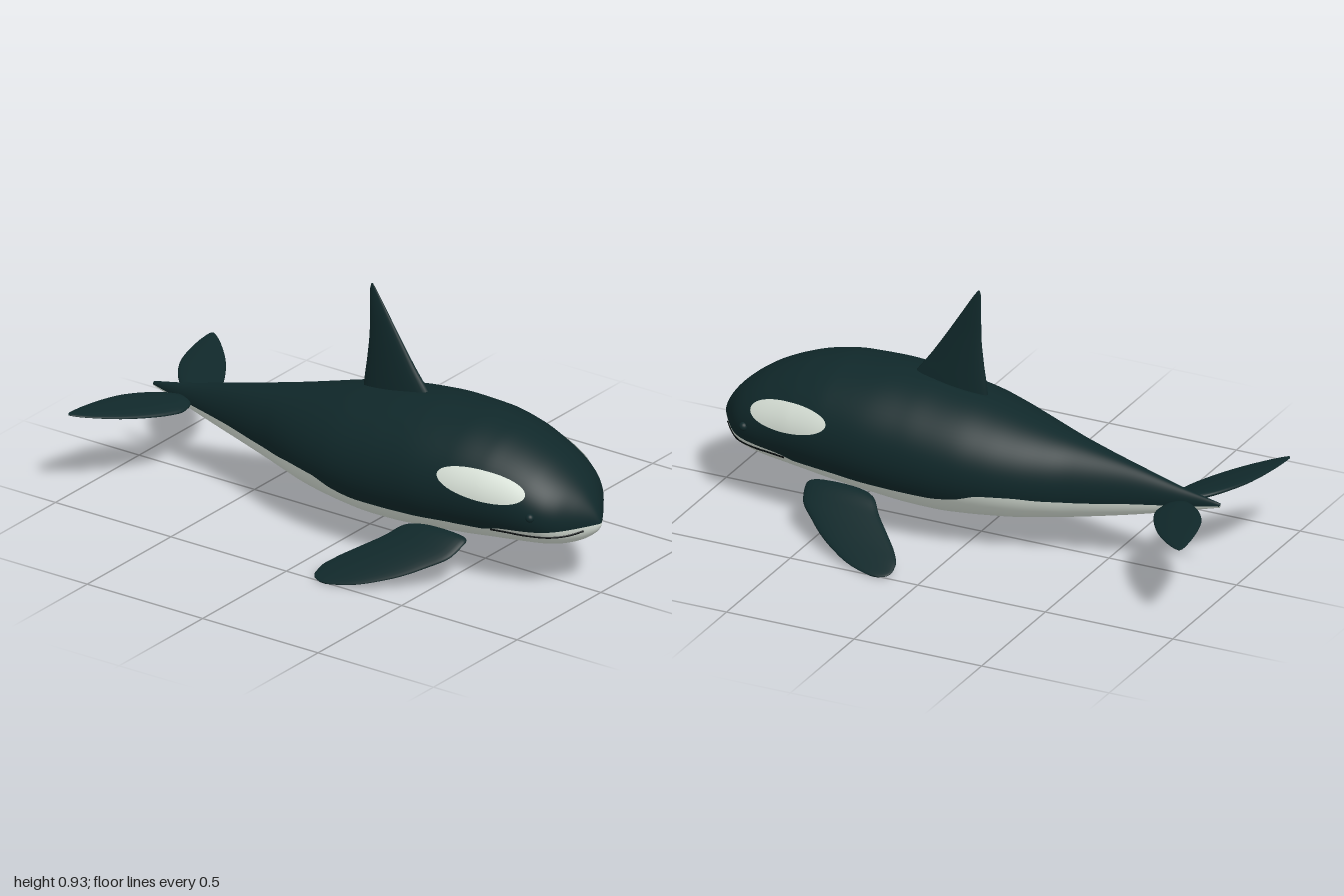
import * as THREE from 'three';

// Monotone cubic interpolation of table rows; column 0 is the ascending key
function sample(rows, x) {
  const n = rows.length;
  let i = 0;
  while (i < n - 2 && x > rows[i + 1][0]) i++;
  const h = rows[i + 1][0] - rows[i][0];
  const t = Math.min(1, Math.max(0, (x - rows[i][0]) / h));
  return rows[0].map((_, c) => {
    if (c === 0) return x;
    const d = k => (rows[k + 1][c] - rows[k][c]) / (rows[k + 1][0] - rows[k][0]);
    const m = k => {
      if (k === 0) return d(0);
      if (k === n - 1) return d(n - 2);
      const a = d(k - 1), b = d(k);
      return a * b > 0 ? 2 * a * b / (a + b) : 0;
    };
    const t2 = t * t, t3 = t2 * t;
    return rows[i][c] * (2 * t3 - 3 * t2 + 1) + rows[i + 1][c] * (3 * t2 - 2 * t3)
      + h * (m(i) * (t3 - 2 * t2 + t) + m(i + 1) * (t3 - t2));
  });
}

// Joins equal rings into a closed skin; isFirst(j) sends a strip to material 0
function skin(rings, isFirst = () => true) {
  const n = rings[0].length, pos = rings.flat(), first = [], second = [];
  for (let i = 0; i < rings.length - 1; i++) {
    for (let j = 0; j < n; j++) {
      const a = i * n + j, b = i * n + (j + 1) % n;
      (isFirst(j) ? first : second).push(a, b, a + n, b, b + n, a + n);
    }
  }
  // End caps
  for (const [k, flip] of [[0, true], [rings.length - 1, false]]) {
    const centre = new THREE.Vector3();
    rings[k].forEach(p => centre.addScaledVector(p, 1 / n));
    const c = pos.push(centre) - 1;
    for (let j = 0; j < n; j++) {
      const a = k * n + j, b = k * n + (j + 1) % n;
      (isFirst(j) ? first : second).push(...(flip ? [c, b, a] : [c, a, b]));
    }
  }
  const index = [...first, ...second];
  // Turn the faces outward if the enclosed volume comes out negative
  let volume = 0;
  const cross = new THREE.Vector3();
  for (let k = 0; k < index.length; k += 3) {
    volume += pos[index[k]].dot(cross.crossVectors(pos[index[k + 1]], pos[index[k + 2]]));
  }
  if (volume < 0) {
    for (let k = 0; k < index.length; k += 3) [index[k], index[k + 1]] = [index[k + 1], index[k]];
  }
  const geo = new THREE.BufferGeometry().setFromPoints(pos);
  geo.setIndex(index);
  geo.addGroup(0, first.length, 0);
  if (second.length) geo.addGroup(first.length, second.length, 1);
  geo.computeVertexNormals();
  return geo;
}

// Fin from rows of [span, leading edge, trailing edge, half thickness, ...]
function fin(rows, place) {
  const rings = [], s0 = rows[0][0], s1 = rows[rows.length - 1][0];
  for (let i = 0; i <= 36; i++) {
    const r = sample(rows, s0 + (s1 - s0) * (1 - Math.cos(Math.PI * i / 36)) / 2);
    const ring = [];
    for (let j = 0; j < 24; j++) {
      const a = j / 24 * Math.PI * 2;
      ring.push(place(r, (r[1] + r[2]) / 2 + (r[1] - r[2]) / 2 * Math.cos(a), r[3] * Math.sin(a)));
    }
    rings.push(ring);
  }
  return skin(rings);
}

// Body: z, top, bottom, half width, height of the belly colour line
const BODY = [
  [-0.935, 0.305, 0.288, 0.006, 0.294], [-0.8, 0.333, 0.25, 0.024, 0.275],
  [-0.6, 0.385, 0.195, 0.06, 0.255], [-0.4, 0.435, 0.15, 0.118, 0.24],
  [-0.3, 0.46, 0.132, 0.16, 0.242], [-0.2, 0.487, 0.116, 0.2, 0.25],
  [-0.1, 0.515, 0.105, 0.232, 0.248], [0, 0.54, 0.096, 0.255, 0.22],
  [0.1, 0.557, 0.09, 0.268, 0.208], [0.2, 0.572, 0.092, 0.275, 0.21],
  [0.35, 0.583, 0.106, 0.28, 0.214], [0.5, 0.58, 0.121, 0.27, 0.224],
  [0.63, 0.558, 0.137, 0.251, 0.226], [0.7, 0.535, 0.145, 0.236, 0.244],
  [0.8, 0.489, 0.157, 0.21, 0.252], [0.86, 0.45, 0.168, 0.184, 0.256],
  [0.9, 0.418, 0.18, 0.152, 0.259], [0.94, 0.378, 0.198, 0.1, 0.262],
  [0.97, 0.338, 0.22, 0.055, 0.265], [0.99, 0.302, 0.24, 0.022, 0.267],
  [1, 0.274, 0.258, 0.005, 0.268],
];

// Point on the left flank at a given height and z
function flank(y, z, lift = 0) {
  const [, top, bottom, w] = sample(BODY, z);
  const k = (y - (top + bottom) / 2) / ((top - bottom) / 2);
  return new THREE.Vector3(w * Math.sqrt(Math.max(0, 1 - k * k)) + lift, y, z);
}

function bodyGeometry() {
  const rings = [], LOW = 14, HIGH = 24, half = LOW + HIGH;
  for (let i = 0; i <= 110; i++) {
    const z = 1 - 1.935 * Math.pow(i / 110, 1.5);
    const [, top, bottom, w, line] = sample(BODY, z);
    const c = (top + bottom) / 2, h = (top - bottom) / 2;
    const seam = Math.asin(Math.min(0.95, Math.max(-0.95, (line - c) / h)));
    const ring = [];
    for (let j = 0; j < 2 * half; j++) {
      const k = j <= half ? j : 2 * half - j;
      const a = k <= LOW
        ? -Math.PI / 2 + (seam + Math.PI / 2) * k / LOW
        : seam + (Math.PI / 2 - seam) * (k - LOW) / HIGH;
      ring.push(new THREE.Vector3((j <= half ? 1 : -1) * w * Math.cos(a), c + h * Math.sin(a), z));
    }
    rings.push(ring);
  }
  return skin(rings, j => j < LOW || j >= 2 * half - LOW);
}

// Thin oval patch wrapped onto the flank
function patchGeometry(side) {
  const geo = new THREE.CircleGeometry(1, 48);
  const disc = new THREE.RingGeometry(0.001, 1, 48, 8);
  geo.dispose();
  const p = disc.attributes.position;
  for (let i = 0; i < p.count; i++) {
    const dz = 0.165 * p.getX(i);
    const v = flank(0.405 + 0.052 * p.getY(i) - 0.09 * dz, 0.645 + dz, 0.005);
    p.setXYZ(i, side * v.x, v.y, v.z);
  }
  disc.computeVertexNormals();
  return disc;
}

export function createModel() {
  const dark = new THREE.MeshStandardMaterial({ color: 0x10282a });
  dark.name = 'darkSkin';
  const white = new THREE.MeshStandardMaterial({ color: 0xdde6dc, side: THREE.DoubleSide });
  white.name = 'whiteSkin';
  const black = new THREE.MeshStandardMaterial({ color: 0x070d0e });
  black.name = 'black';

  const model = new THREE.Group();
  const add = (name, geo, mat) => {
    const mesh = new THREE.Mesh(geo, mat);
    mesh.name = name;
    model.add(mesh);
    return mesh;
  };

  add('body', bodyGeometry(), [white, dark]);

  // Dorsal fin: rows run up y
  add('dorsalFin', fin([
    [0.5, 0.3, -0.03, 0.034], [0.57, 0.258, -0.022, 0.03], [0.65, 0.198, -0.01, 0.024],
    [0.756, 0.127, 0, 0.016], [0.82, 0.086, 0.001, 0.012], [0.906, 0.031, 0.001, 0.005],
    [0.93, 0.014, 0.006, 0.002],
  ], (r, u, v) => new THREE.Vector3(v, r[0], u)), dark);

  // Paired parts: rows run outward along x
  const flipper = [
    [0.19, 0.53, 0.43, 0.008, 0.166], [0.2, 0.56, 0.36, 0.018, 0.167], [0.22, 0.575, 0.315, 0.022, 0.162],
    [0.28, 0.56, 0.262, 0.021, 0.127], [0.35, 0.488, 0.19, 0.018, 0.086], [0.4, 0.425, 0.142, 0.015, 0.058],
    [0.45, 0.345, 0.112, 0.011, 0.033], [0.48, 0.287, 0.11, 0.008, 0.019], [0.5, 0.228, 0.123, 0.005, 0.01],
    [0.509, 0.185, 0.15, 0.003, 0.005],
  ];
  const fluke = [
    [0.012, -0.78, -0.815, 0.006], [0.03, -0.755, -0.835, 0.012], [0.05, -0.743, -0.86, 0.015],
    [0.1, -0.735, -0.905, 0.015], [0.15, -0.75, -0.937, 0.014], [0.2, -0.775, -0.96, 0.013],
    [0.3, -0.842, -0.986, 0.01], [0.38, -0.917, -0.998, 0.006], [0.42, -0.965, -1, 0.004],
    [0.432, -0.985, -0.994, 0.002],
  ];
  for (const [side, label] of [[1, 'left'], [-1, 'right']]) {
    add(label + 'Flipper', fin(flipper, (r, u, v) =>
      new THREE.Vector3(side * (r[0] + v * 0.45), r[4] + v * 0.88, u)), dark);
    add(label + 'Fluke', fin(fluke, (r, u, v) =>
      new THREE.Vector3(side * r[0], 0.275 + (-0.73 - u) * 0.16 + v, u)), dark);
    add(label + 'EyePatch', patchGeometry(side), white);

    // Eye
    const eye = add(label + 'Eye', new THREE.SphereGeometry(0.016, 20, 14), dark);
    eye.position.copy(flank(0.316, 0.835));
    eye.position.x *= side;

    // Mouth line along the jaw
    const path = [[0.25, 0.965], [0.238, 0.93], [0.234, 0.88], [0.233, 0.8], [0.234, 0.73], [0.233, 0.67]]
      .map(([y, z]) => {
        const v = flank(y, z);
        v.x *= side;
        return v;
      });
    add(label + 'MouthLine', new THREE.TubeGeometry(new THREE.CatmullRomCurve3(path), 40, 0.0045, 8), black);
  }
  return model;
}
